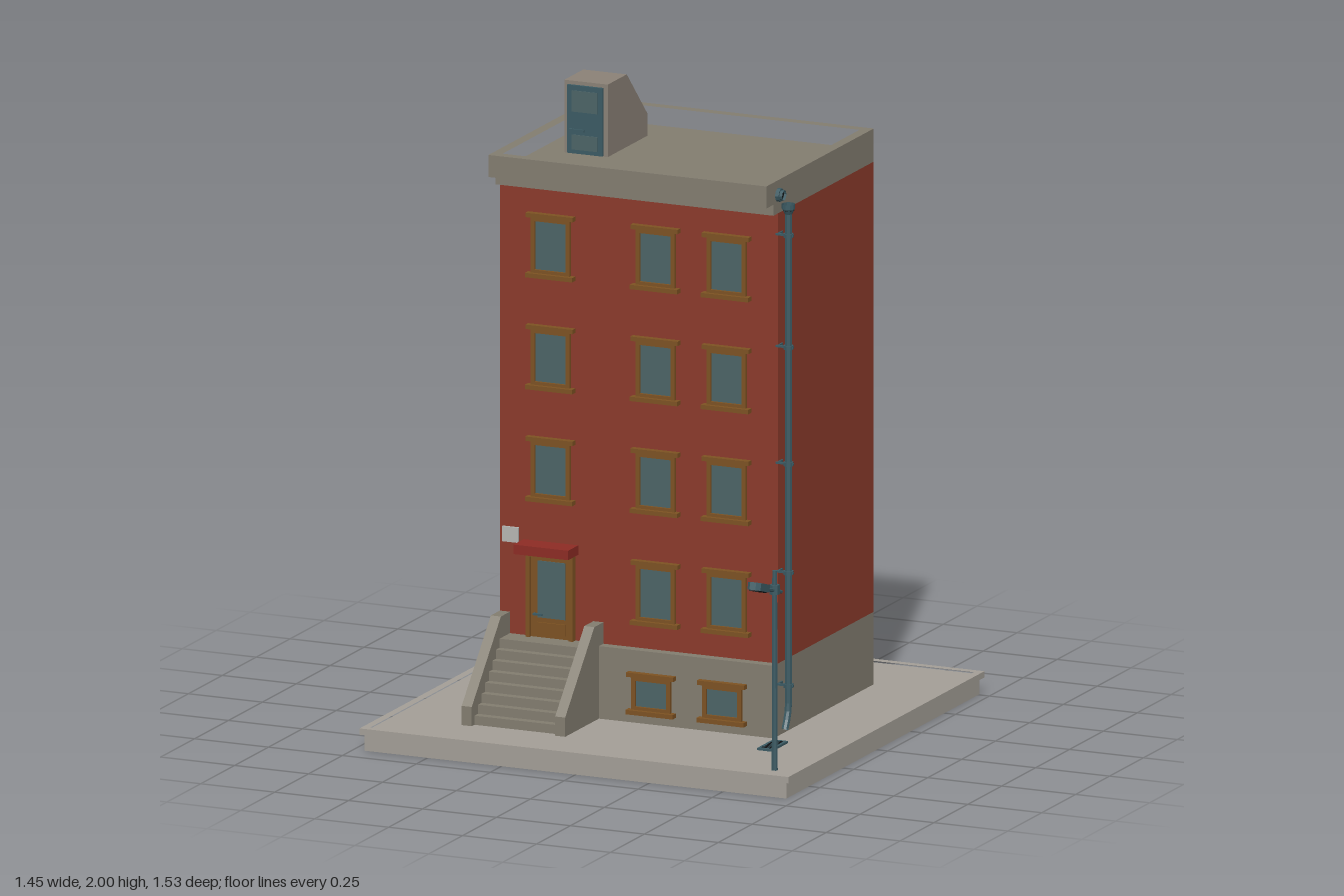
import * as THREE from 'three';

const mat = (color, double) => new THREE.MeshStandardMaterial({
  color, flatShading: true, side: double ? THREE.DoubleSide : THREE.FrontSide });
const M = {
  brick: mat(0x8b3a2b), stone: mat(0x827c6f), paving: mat(0xa39e96), wood: mat(0x7d5222),
  glass: mat(0x4b6366), metal: mat(0x3b5a63, true), dark: mat(0x101214, true),
  canopy: mat(0x8c2b24), sign: mat(0xb5b5b2), hatch: mat(0x8a8176),
};

export function createModel() {
  const root = new THREE.Group();
  root.name = 'townhouse';

  const add = (name, geo, material, parent = root) => {
    const m = new THREE.Mesh(geo, material);
    m.name = name;
    parent.add(m);
    return m;
  };
  // Box given by its extents on each axis
  const box = (name, material, x0, x1, y0, y1, z0, z1, parent) => {
    const m = add(name, new THREE.BoxGeometry(x1 - x0, y1 - y0, z1 - z0), material, parent);
    m.position.set((x0 + x1) / 2, (y0 + y1) / 2, (z0 + z1) / 2);
    return m;
  };
  // Rectangular frame standing on y0, with a border of width b
  const ring = (name, material, x0, x1, y0, y1, z0, z1, b) => {
    const rect = (C, i) => new C([[x0 + i, -z0 - i], [x1 - i, -z0 - i], [x1 - i, -z1 + i], [x0 + i, -z1 + i]]
      .map(p => new THREE.Vector2(...p)));
    const s = rect(THREE.Shape, 0);
    s.holes.push(rect(THREE.Path, b));
    const g = new THREE.ExtrudeGeometry(s, { depth: y1 - y0, bevelEnabled: false });
    g.rotateX(-Math.PI / 2).translate(0, y0, 0);
    add(name, g, material);
  };
  // Side profile of [z, y] points extruded along x
  const profile = (name, material, x0, x1, pts) => {
    const s = new THREE.Shape(pts.map(([z, y]) => new THREE.Vector2(-z, y)));
    const g = new THREE.ExtrudeGeometry(s, { depth: x1 - x0, bevelEnabled: false });
    g.rotateY(Math.PI / 2).translate(x0, 0, 0);
    return add(name, g, material);
  };
  // Cylinder between two points
  const rod = (name, material, a, b, r, r2 = r, sides = 8, open = false, parent = root) => {
    const A = new THREE.Vector3(...a), B = new THREE.Vector3(...b);
    const d = B.clone().sub(A);
    const m = add(name, new THREE.CylinderGeometry(r2, r, d.length(), sides, 1, open), material, parent);
    m.position.copy(A).add(B).multiplyScalar(0.5);
    m.quaternion.setFromUnitVectors(new THREE.Vector3(0, 1, 0), d.normalize());
    return m;
  };

  // Pavement with a low rim
  box('pavementBase', M.paving, -0.713, 0.713, 0, 0.052, -0.757, 0.667);
  ring('pavementRim', M.paving, -0.725, 0.725, 0.052, 0.072, -0.768, 0.678, 0.025);
  box('pavementTop', M.paving, -0.702, 0.702, 0.05, 0.067, -0.745, 0.655);

  // Building body
  const X0 = -0.465, X1 = 0.475, ZB = -0.497, WALL = 0.21, PLINTH = 0.243;
  box('plinth', M.stone, X0, X1, 0.06, 0.297, ZB, PLINTH);
  box('brickWalls', M.brick, X0, X1, 0.297, 1.725, ZB, WALL);
  box('corniceLower', M.stone, X0, X1, 1.725, 1.762, ZB, 0.243);
  box('roofDeck', M.stone, -0.44, 0.45, 1.76, 1.77, -0.47, 0.262);
  ring('parapet', M.stone, X0, X1, 1.76, 1.83, ZB, 0.295, 0.033);

  // Windows: glass, surround, lintel and sill
  const windowUnit = (cx, y0, y1, z) => {
    const g = new THREE.Group();
    g.name = 'window';
    root.add(g);
    const w = 0.066, b = 0.013;
    box('glass', M.glass, cx - w + b, cx + w - b, y0 + 0.01, y1 - 0.01, z - 0.01, z + 0.004, g);
    for (const s of [-1, 1]) {
      const c = cx + s * (w - b / 2);
      box('jamb', M.wood, c - b / 2, c + b / 2, y0 + 0.012, y1 - 0.012, z - 0.01, z + 0.012, g);
    }
    box('headRail', M.wood, cx - w, cx + w, y1 - 0.026, y1 - 0.012, z - 0.01, z + 0.012, g);
    box('bottomRail', M.wood, cx - w, cx + w, y0 + 0.012, y0 + 0.024, z - 0.01, z + 0.012, g);
    box('lintel', M.wood, cx - 0.08, cx + 0.08, y1 - 0.014, y1, z - 0.01, z + 0.02, g);
    box('sill', M.wood, cx - 0.08, cx + 0.08, y0, y0 + 0.014, z - 0.01, z + 0.024, g);
  };
  for (let floor = 0; floor < 4; floor++)
    for (const cx of [-0.29, 0.065, 0.305]) {
      if (floor === 0 && cx < 0) continue;
      windowUnit(cx, 0.373 + floor * 0.355, 0.577 + floor * 0.355, WALL);
    }
  for (const cx of [0.065, 0.305]) windowUnit(cx, 0.097, 0.229, PLINTH);

  // Front door with canopy and sign
  for (const x of [-0.37, -0.224]) box('doorJamb', M.wood, x, x + 0.014, 0.297, 0.57, 0.2, 0.23);
  box('doorHead', M.wood, -0.37, -0.21, 0.553, 0.57, 0.2, 0.23);
  box('doorLeaf', M.wood, -0.356, -0.224, 0.297, 0.553, 0.2, 0.217);
  box('doorGlass', M.glass, -0.334, -0.24, 0.36, 0.54, 0.205, 0.22);
  box('doorPanel', M.wood, -0.334, -0.24, 0.308, 0.345, 0.205, 0.222);
  box('doorHandle', M.metal, -0.345, -0.314, 0.368, 0.374, 0.225, 0.231);
  box('handlePost', M.metal, -0.345, -0.339, 0.368, 0.374, 0.215, 0.228);
  box('canopy', M.canopy, -0.385, -0.2, 0.57, 0.6, 0.2, 0.285);
  box('sign', M.sign, -0.455, -0.4, 0.588, 0.636, 0.2, 0.218);

  // Entrance steps between two sloping cheek walls
  const steps = 8, rise = (0.297 - 0.067) / steps;
  const stair = [[0.22, 0.06], [0.472, 0.06]];
  for (let i = 0; i < steps; i++) {
    const z = 0.472 - i * 0.0265;
    stair.push([z, 0.067 + rise * (i + 1)], [i < steps - 1 ? z - 0.0265 : 0.2, 0.067 + rise * (i + 1)]);
  }
  stair.push([0.2, 0.06]);
  profile('steps', M.stone, -0.435, -0.145, stair.slice(1));
  for (const x of [-0.465, -0.149])
    profile('stairCheek', M.stone, x, x + 0.034,
      [[0.2, 0.06], [0.492, 0.06], [0.492, 0.128], [0.277, 0.365], [0.2, 0.365]]);

  // Roof access hut, sloping at the back
  profile('roofHut', M.hatch, -0.365, -0.218,
    [[-0.34, 1.77], [-0.047, 1.77], [-0.047, 2], [-0.187, 2], [-0.34, 1.84]]);
  box('hutDoor', M.metal, -0.352, -0.232, 1.772, 1.988, -0.05, -0.038);
  box('hutDoorUpperPanel', M.glass, -0.335, -0.249, 1.905, 1.972, -0.045, -0.035);
  box('hutDoorLowerPanel', M.glass, -0.335, -0.249, 1.785, 1.832, -0.045, -0.035);
  box('hutDoorHandle', M.metal, -0.34, -0.29, 1.845, 1.852, -0.032, -0.026);
  box('hutHandlePost', M.metal, -0.34, -0.333, 1.845, 1.852, -0.04, -0.028);

  // Roof drain, hopper and downpipe
  const px = 0.512, pz = 0.213;
  rod('drainSpout', M.metal, [0.425, 1.785, pz], [0.498, 1.785, pz], 0.016, 0.016, 10, true);
  rod('spoutOpening', M.dark, [0.43, 1.785, pz], [0.49, 1.785, pz], 0.0145, 0.0145, 10);
  rod('spoutCollar', M.metal, [0.476, 1.785, pz], [0.488, 1.785, pz], 0.021, 0.021, 10);
  rod('hopper', M.metal, [px, 1.728, pz], [px, 1.745, pz], 0.012, 0.02, 10);
  rod('hopperRim', M.metal, [px, 1.745, pz], [px, 1.76, pz], 0.021, 0.021, 10, true);
  rod('hopperInside', M.dark, [px, 1.74, pz], [px, 1.75, pz], 0.018, 0.018, 10);
  const path = new THREE.CurvePath();
  const P = (y, z) => new THREE.Vector3(px, y, z);
  path.add(new THREE.LineCurve3(P(1.74, pz), P(0.17, pz)));
  path.add(new THREE.QuadraticBezierCurve3(P(0.17, pz), P(0.145, pz), P(0.1, 0.238)));
  add('downpipe', new THREE.TubeGeometry(path, 60, 0.0115, 8), M.metal);
  for (const y of [1.66, 1.305, 0.935, 0.59, 0.232]) {
    rod('pipeClamp', M.metal, [px, y - 0.006, pz], [px, y + 0.006, pz], 0.016);
    box('clampArm', M.metal, 0.47, 0.529, y - 0.003, y + 0.003, pz - 0.004, pz + 0.004);
    box('clampPlate', M.metal, 0.474, 0.48, y - 0.004, y + 0.004, 0.182, 0.209);
  }

  // Drain grate set in the pavement
  box('grate', M.metal, 0.49, 0.54, 0.06, 0.074, 0.278, 0.396);
  for (let i = 0; i < 8; i++) {
    const z = 0.29 + i * 0.0125;
    box('grateSlot', M.dark, 0.499, 0.531, 0.07, 0.0745, z, z + 0.007);
  }

  // Street lamp with a tilted arm and head
  const lx = 0.642, lz = 0.598;
  rod('lampPole', M.metal, [lx, 0.06, lz], [lx, 0.7, lz], 0.01, 0.008);
  rod('lampCollar', M.metal, [lx, 0.625, lz], [lx, 0.655, lz], 0.016, 0.016, 6);
  const lamp = new THREE.Group();
  lamp.name = 'lampHead';
  lamp.position.set(lx, 0.636, lz);
  lamp.rotation.x = -0.3;
  root.add(lamp);
  rod('lampArm', M.metal, [0, 0, -0.05], [0, 0, 0.1], 0.006, 0.006, 6, false, lamp);
  const c = 0.012, w = 0.022, s = new THREE.Shape();
  [[-w + c, 0.078], [w - c, 0.078], [w, 0.09], [w, 0.158], [w - c, 0.17], [-w + c, 0.17], [-w, 0.158], [-w, 0.09]]
    .forEach(([x, z], i) => (i ? s.lineTo(x, z) : s.moveTo(x, z)));
  const head = new THREE.ExtrudeGeometry(s, { depth: 0.024, bevelEnabled: false });
  head.rotateX(Math.PI / 2).translate(0, 0.014, 0);
  add('lampHousing', head, M.metal, lamp);
  box('lampLens', M.dark, -0.016, 0.016, -0.013, -0.008, 0.095, 0.158, lamp);

  return root;
}
